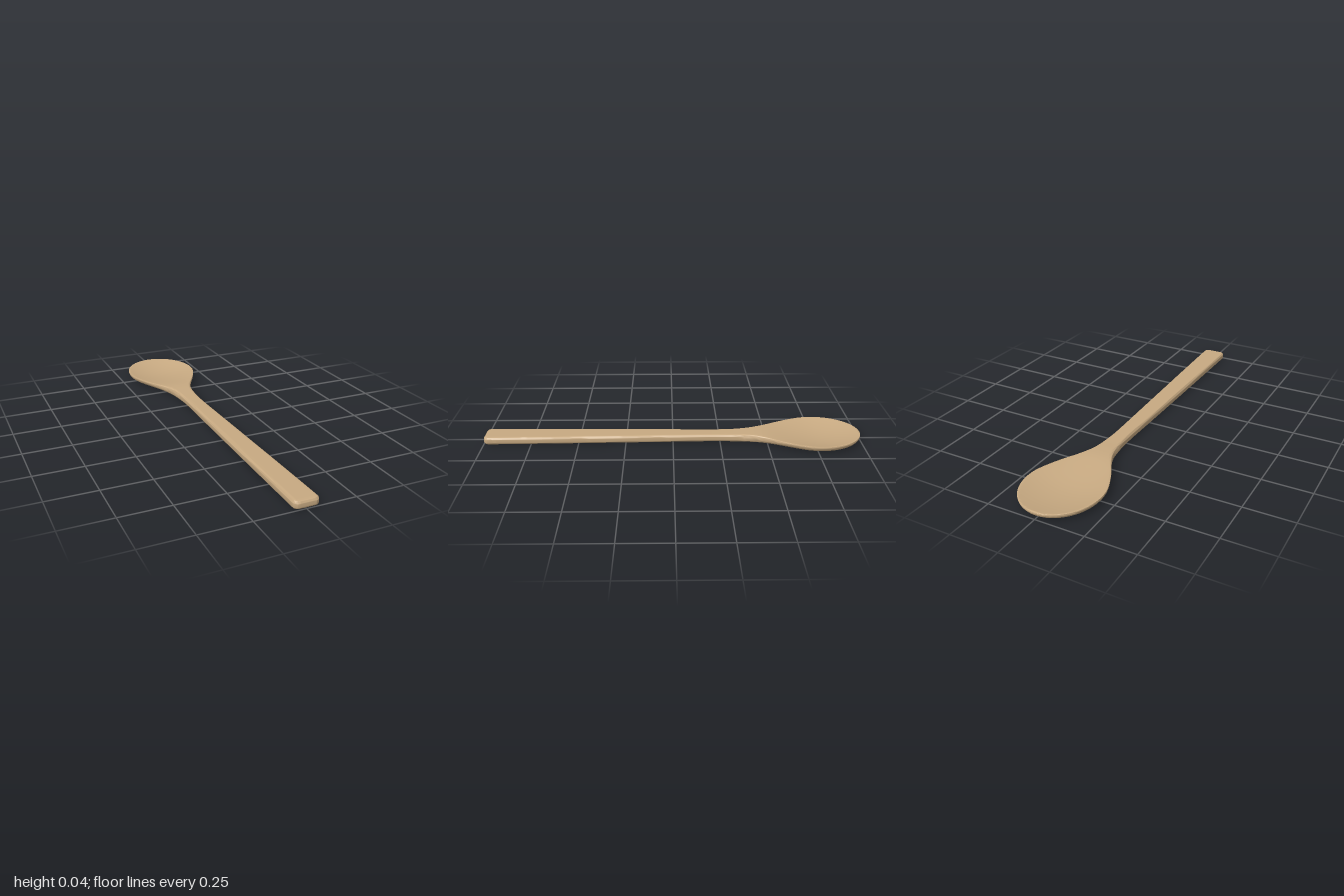
import * as THREE from 'three';
import { toCreasedNormals } from 'three/addons/utils/BufferGeometryUtils.js';

const { smoothstep, lerp } = THREE.MathUtils;

// Half width of the handle and neck: [z, half width]
const WIDTHS = [[-0.77, 0.197], [-0.7, 0.187], [-0.6, 0.146], [-0.5, 0.091], [-0.45, 0.068], [-0.4, 0.054],
  [-0.3, 0.044], [-0.2, 0.042], [0, 0.046], [0.4, 0.054], [0.8, 0.061], [1, 0.064]];

// Smooth (Hermite) reading of the width table
function tableWidth(z) {
  const last = WIDTHS.length - 1;
  let i = 0;
  while (i < last - 1 && z > WIDTHS[i + 1][0]) i++;
  const slope = (k) => {
    if (k === 0) return 0;
    const a = WIDTHS[k - 1], b = WIDTHS[Math.min(k + 1, last)];
    return (b[1] - a[1]) / (b[0] - a[0]);
  };
  const [z0, w0] = WIDTHS[i], [z1, w1] = WIDTHS[i + 1];
  const h = z1 - z0, t = (z - z0) / h, t2 = t * t, t3 = t2 * t;
  return (2 * t3 - 3 * t2 + 1) * w0 + (t3 - 2 * t2 + t) * h * slope(i)
    + (3 * t2 - 2 * t3) * w1 + (t3 - t2) * h * slope(i + 1);
}

// Plan outline: elliptical bowl tip, egg-shaped flare, handle with rounded corners
function halfWidth(z) {
  if (z < -0.77) return Math.max(0.002, 0.197 * Math.sqrt(Math.max(0, 1 - ((z + 0.77) / 0.23) ** 2)));
  const r = 0.026, over = Math.max(0, z - (1 - r));
  return tableWidth(z) - r + Math.sqrt(Math.max(0, r * r - over * over));
}

// The handle drifts slightly sideways towards its end
const centre = (z) => 0.003 * smoothstep(z, -0.5, -0.3) + 0.004 * smoothstep(z, -0.3, 1);

// Drop of a rounded edge (quarter ellipse) at distance d from the outline
const edgeDrop = (d, run, height) => {
  const t = Math.max(0, 1 - d / run);
  return height * (1 - Math.sqrt(1 - t * t));
};

function spoonGeometry() {
  const rows = 130, cols = 32, ring = 2 * (cols + 1);
  const zs = Array.from({ length: rows + 1 }, (_, j) => -Math.cos((j / rows) * Math.PI));

  // Closed outline used to measure how far a point lies from the edge
  const outline = [
    ...zs.map((z) => new THREE.Vector3(centre(z) + halfWidth(z), 0, z)),
    ...zs.map((z) => new THREE.Vector3(centre(z) - halfWidth(z), 0, z)).reverse(),
  ];
  const edges = outline.map((p, i) => new THREE.Line3(p, outline[(i + 1) % outline.length]));
  const near = new THREE.Vector3();
  const edgeDistance = (p) => Math.min(...edges.map((e) => e.closestPointToPoint(p, true, near).distanceTo(p)));

  const positions = [], index = [];
  for (const z of zs) {
    const w = halfWidth(z), cx = centre(z);
    const bowl = 1 - smoothstep(z, -0.62, -0.36);
    const crest = 0.041 - 0.002 * bowl + 0.004 * Math.exp(-(((z + 0.45) / 0.1) ** 2));
    const hollowLength = z < -0.78
      ? Math.max(0, 1 - ((z + 0.78) / 0.212) ** 2)
      : 1 - smoothstep(z, -0.78, -0.46);
    const top = [], bottom = [];
    for (let i = 0; i <= cols; i++) {
      const u = -Math.cos((i / cols) * Math.PI), x = cx + u * w;
      const rim = i === 0 || i === cols;
      const d = rim ? 0 : edgeDistance(new THREE.Vector3(x, 0, z));
      const inner = Math.min(1, Math.abs(u * w) / Math.max(0.001, w - 0.007));
      const hollow = 0.024 * hollowLength * (1 - inner * inner);
      const rt = lerp(0.012, 0.002, bowl);
      top.push(x, crest - edgeDrop(d, rt, rt) - hollow, z);
      bottom.unshift([x, 0.001 + edgeDrop(d, lerp(0.013, 0.055, bowl), lerp(0.013, 0.034, bowl)), z]);
    }
    positions.push(...top, ...bottom.flat());
  }

  // Skin between neighbouring cross-sections
  for (let j = 0; j < rows; j++) {
    for (let k = 0; k < ring; k++) {
      const a = j * ring + k, b = j * ring + ((k + 1) % ring);
      index.push(a, a + ring, b, b, a + ring, b + ring);
    }
  }
  // End faces at the bowl tip and the handle end
  for (let i = 0; i < cols; i++) {
    const a = i, b = i + 1, p = ring - 1 - i, q = p - 1, o = rows * ring;
    index.push(a, b, p, b, q, p);
    index.push(o + p, o + b, o + a, o + p, o + q, o + b);
  }

  const geometry = new THREE.BufferGeometry();
  geometry.setAttribute('position', new THREE.Float32BufferAttribute(positions, 3));
  geometry.setIndex(index);
  return toCreasedNormals(geometry, 0.9);
}

export function createModel() {
  const wood = new THREE.MeshStandardMaterial({ color: 0xc8aa82 });
  wood.name = 'light wood';
  const spoon = new THREE.Mesh(spoonGeometry(), wood);
  spoon.name = 'spoon';
  const group = new THREE.Group();
  group.name = 'wooden spoon';
  group.add(spoon);
  return group;
}
